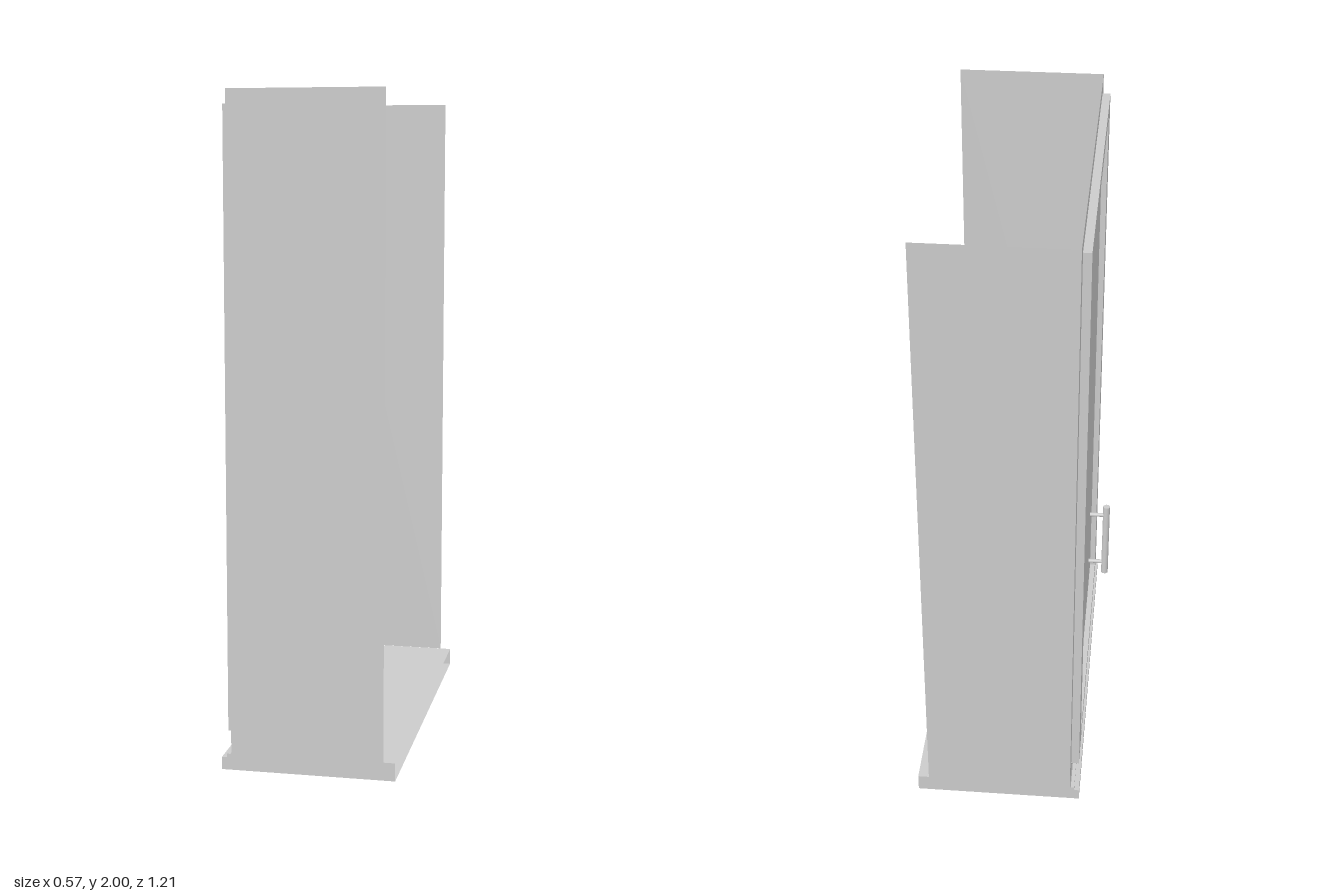
import * as THREE from 'three';

const material = new THREE.MeshStandardMaterial({ color: 0xcccccc, side: THREE.DoubleSide });

function add(group, name, geometry, x = 0, y = 0, z = 0) {
  const mesh = new THREE.Mesh(geometry, material);
  mesh.name = name;
  mesh.position.set(x, y, z);
  group.add(mesh);
  return mesh;
}

// Flat-shaded strip of quads from a list of [a, b, c, d] corners
function quadGeometry(quads) {
  const points = quads.flatMap(([a, b, c, d]) => [a, b, c, a, c, d]);
  const geometry = new THREE.BufferGeometry().setFromPoints(points);
  geometry.computeVertexNormals();
  return geometry;
}

// Nested rectangles in the z-y plane, joined band by band, the last one filled
function steppedPanel(sections) {
  const loops = sections.map(([x, w, y0, y1]) => [
    new THREE.Vector3(x, y0, -w), new THREE.Vector3(x, y0, w),
    new THREE.Vector3(x, y1, w), new THREE.Vector3(x, y1, -w),
  ]);
  const quads = [];
  for (let i = 0; i < loops.length - 1; i++) {
    for (let k = 0; k < 4; k++) {
      const n = (k + 1) % 4;
      quads.push([loops[i][k], loops[i][n], loops[i + 1][n], loops[i + 1][k]]);
    }
  }
  quads.push(loops[loops.length - 1]);
  return quadGeometry(quads);
}

export function createModel() {
  const group = new THREE.Group();
  const frontX = -0.21, backX = 0.25, baseTop = 0.055;

  // Face frame and hollow door: frame, raised rim, recessed panel
  add(group, 'doorFront', steppedPanel([
    [frontX, 0.605, baseTop, 2],
    [frontX, 0.545, 0.1, 1.96],
    [-0.235, 0.545, 0.1, 1.96],
    [-0.235, 0.45, 0.137, 1.92],
    [-0.217, 0.45, 0.137, 1.92],
  ]));

  // Thin side walls
  for (const s of [-1, 1]) {
    const wall = new THREE.PlaneGeometry(backX - frontX, 2 - baseTop);
    if (s < 0) wall.rotateY(Math.PI);
    add(group, s > 0 ? 'leftWall' : 'rightWall', wall,
      (backX + frontX) / 2, (2 + baseTop) / 2, s * 0.605);
  }

  // Hollow base with a stepped moulding, open at the back
  const profile = [
    [0.285, baseTop], [frontX, baseTop], [-0.213, 0.049], [-0.224, 0.049],
    [-0.224, 0.039], [-0.24, 0.037], [-0.24, 0], [0.285, 0],
  ];
  const baseHalf = 0.604;
  const quads = [];
  for (let i = 0; i < profile.length - 1; i++) {
    const [[x0, y0], [x1, y1]] = [profile[i], profile[i + 1]];
    quads.push([
      new THREE.Vector3(x0, y0, -baseHalf), new THREE.Vector3(x1, y1, -baseHalf),
      new THREE.Vector3(x1, y1, baseHalf), new THREE.Vector3(x0, y0, baseHalf),
    ]);
  }
  add(group, 'base', quadGeometry(quads));
  const capShape = new THREE.Shape(profile.map(([x, y]) => new THREE.Vector2(x, y)));
  for (const s of [-1, 1]) {
    const cap = add(group, 'baseEnd', new THREE.ShapeGeometry(capShape), 0, 0, s * baseHalf);
    if (s < 0) cap.material = material;
  }

  // Bar handle on two posts that pass through the door
  const handle = new THREE.Group();
  handle.name = 'handle';
  add(handle, 'handleBar', new THREE.CylinderGeometry(0.012, 0.012, 0.29, 20), -0.275, 0.377, 0.295);
  for (const y of [0.277, 0.485]) {
    const post = new THREE.CylinderGeometry(0.007, 0.007, 0.095, 16).rotateZ(Math.PI / 2);
    add(handle, 'handlePost', post, -0.2275, y, 0.295);
  }
  group.add(handle);
  return group;
}
